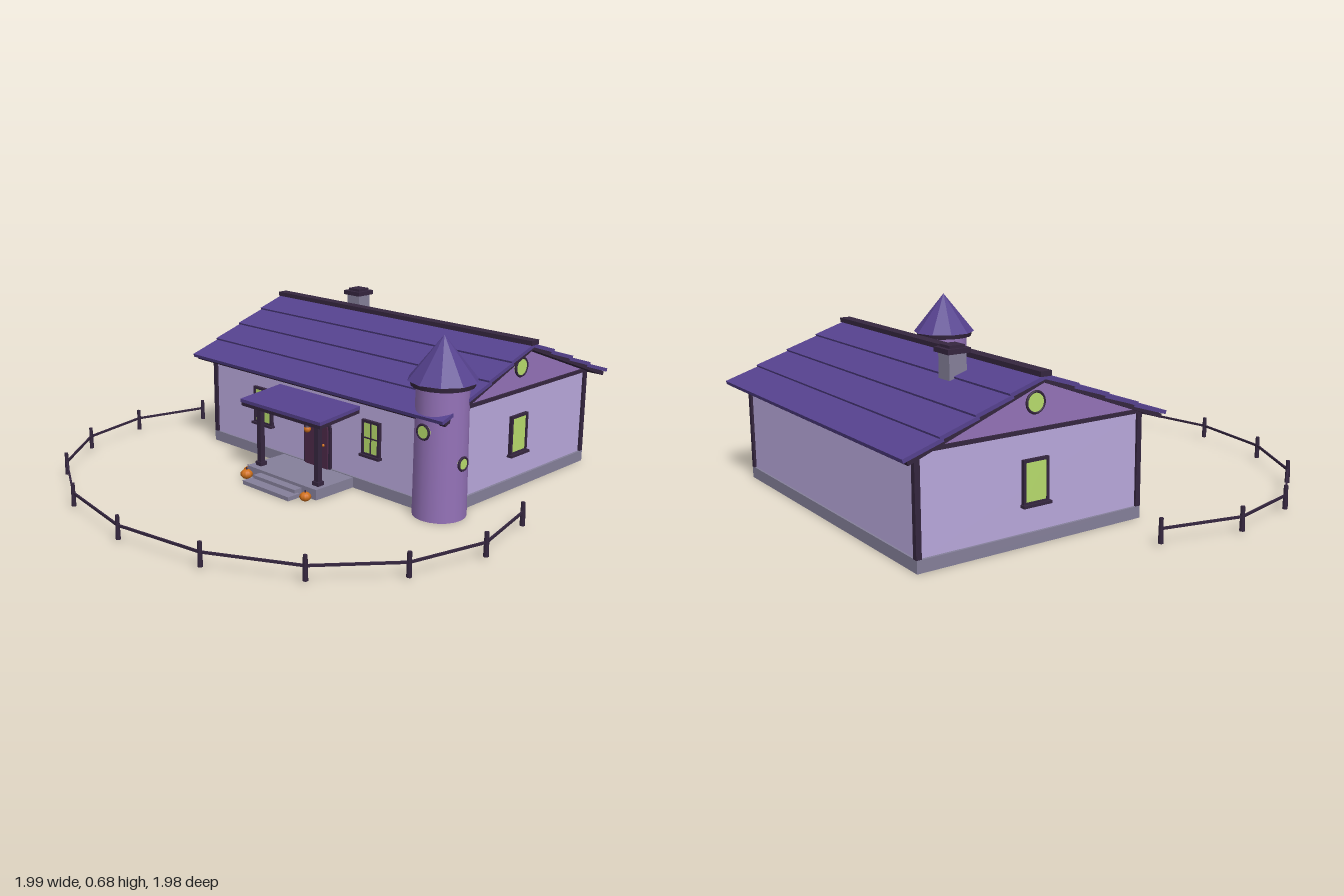
import * as THREE from 'three';

const paint = (color, flatShading = false) =>
  new THREE.MeshStandardMaterial({ color, flatShading });
const MAT = {
  wall: paint(0xb9a8dc), gable: paint(0x9472b8), roof: paint(0x56428f, true),
  trim: paint(0x35263f), stone: paint(0x85809a), glass: paint(0xb8dc6c),
  door: paint(0x4c2848), pumpkin: paint(0xd0701c), tower: paint(0x9472b8),
};

function add(parent, name, geometry, material, x = 0, y = 0, z = 0) {
  const mesh = new THREE.Mesh(geometry, material);
  mesh.name = name;
  mesh.position.set(x, y, z);
  parent.add(mesh);
  return mesh;
}
const box = (w, h, d) => new THREE.BoxGeometry(w, h, d);
const cyl = (top, bottom, h, n = 16) => new THREE.CylinderGeometry(top, bottom, h, n);

function group(parent, name, x = 0, y = 0, z = 0, turn = 0) {
  const g = new THREE.Group();
  g.name = name;
  g.position.set(x, y, z);
  g.rotation.y = turn;
  parent.add(g);
  return g;
}

// Window facing its local +z, with frame bars, sill and optional mullions
function squareWindow(parent, x, y, z, turn, w, h, cross) {
  const g = group(parent, 'window', x, y, z, turn);
  add(g, 'pane', box(w, h, 0.008), MAT.glass, 0, 0, 0.002);
  for (const s of [-1, 1]) {
    add(g, 'frameSide', box(0.01, h, 0.018), MAT.trim, s * w / 2, 0, 0.002);
    add(g, 'frameRail', box(w + 0.01, 0.01, 0.018), MAT.trim, 0, s * h / 2, 0.002);
  }
  add(g, 'sill', box(w + 0.022, 0.01, 0.028), MAT.trim, 0, -h / 2 - 0.006, 0.006);
  if (cross) {
    add(g, 'mullion', box(0.005, h, 0.012), MAT.trim, 0, 0, 0.003);
    add(g, 'mullionBar', box(w, 0.005, 0.012), MAT.trim, 0, 0, 0.003);
  }
}

function roundWindow(parent, x, y, z, turn, r) {
  const g = group(parent, 'roundWindow', x, y, z, turn);
  add(g, 'pane', cyl(r, r, 0.012, 20), MAT.glass).rotation.x = Math.PI / 2;
  add(g, 'frame', new THREE.TorusGeometry(r, 0.005, 6, 20), MAT.trim, 0, 0, 0.004);
}

function archGeometry(halfWidth, height, depth) {
  const s = new THREE.Shape();
  s.moveTo(-halfWidth, 0);
  s.lineTo(halfWidth, 0);
  s.lineTo(halfWidth, height - halfWidth);
  s.absarc(0, height - halfWidth, halfWidth, 0, Math.PI);
  s.closePath();
  return new THREE.ExtrudeGeometry(s, { depth, bevelEnabled: false, curveSegments: 16 });
}

const MID = -0.455; // z of the ridge

function buildHouse(root) {
  const house = group(root, 'house', 0, 0, MID);
  add(house, 'foundation', box(1.3, 0.045, 0.925), MAT.stone, 0, 0.0225, 0);
  add(house, 'walls', box(1.28, 0.36, 0.91), MAT.wall, 0, 0.215, 0);
  const tri = new THREE.Shape();
  tri.moveTo(-0.455, 0);
  tri.lineTo(0.455, 0);
  tri.lineTo(0, 0.18);
  const gable = new THREE.ExtrudeGeometry(tri, { depth: 1.28, bevelEnabled: false });
  add(house, 'gables', gable, MAT.gable, -0.64, 0.393, 0).rotation.y = Math.PI / 2;
  for (const s of [-1, 1]) {
    for (const t of [-1, 1])
      add(house, 'cornerPost', box(0.02, 0.35, 0.02), MAT.trim, s * 0.639, 0.22, t * 0.454);
    add(house, 'gableTrim', box(0.012, 0.014, 0.91), MAT.trim, s * 0.642, 0.396, 0);
    squareWindow(house, s * 0.643, 0.222, 0, s * Math.PI / 2, 0.095, 0.148, false);
    roundWindow(house, s * 0.643, 0.49, 0, s * Math.PI / 2, 0.036);
  }
  squareWindow(root, -0.325, 0.224, 0.003, 0, 0.1, 0.148, true);
  squareWindow(root, 0.295, 0.224, 0.003, 0, 0.082, 0.132, true);
}

// Each slope: dark underboard plus four overlapping, slightly lifted boards
function buildRoof(root) {
  const pitch = Math.atan2(0.2, 0.53), length = 0.562;
  for (const turn of [0, Math.PI]) {
    const side = group(root, 'roofSide', 0, 0.587, MID, turn);
    const slope = group(side, 'roofSlope');
    slope.rotation.x = pitch;
    add(slope, 'underboard', box(1.39, 0.016, length - 0.008), MAT.trim, 0, -0.013, length / 2 - 0.004);
    for (let i = 0; i < 4; i++) {
      const row = add(slope, 'roofBoard', box(1.4, 0.014, 0.152), MAT.roof,
        0, 0, (i + 0.5) * length / 4);
      row.rotation.x = -0.055;
    }
  }
  add(root, 'ridgeCap', box(1.41, 0.018, 0.045), MAT.trim, 0, 0.595, MID);
  const chimney = group(root, 'chimney', -0.335, 0, -0.578);
  add(chimney, 'stack', box(0.07, 0.14, 0.07), MAT.stone, 0, 0.56, 0);
  add(chimney, 'cap', box(0.092, 0.018, 0.092), MAT.trim, 0, 0.633, 0);
  add(chimney, 'flue', box(0.062, 0.014, 0.062), MAT.trim, 0, 0.645, 0);
}

function buildTower(root) {
  const tower = group(root, 'tower', 0.613, 0, -0.025);
  add(tower, 'shaft', cyl(0.098, 0.102, 0.5, 20), MAT.tower, 0, 0.25, 0);
  add(tower, 'rim', cyl(0.122, 0.118, 0.022, 20), MAT.trim, 0, 0.507, 0);
  add(tower, 'spire', new THREE.ConeGeometry(0.132, 0.165, 10), MAT.roof, 0, 0.598, 0);
  roundWindow(tower, 0, 0.34, 0.1, 0, 0.027);
  roundWindow(tower, 0.1, 0.22, 0, Math.PI / 2, 0.024);
}

function buildPumpkin(root, x, z, r) {
  const g = group(root, 'pumpkin', x, r * 0.8, z);
  const body = new THREE.SphereGeometry(r, 24, 10);
  const p = body.attributes.position;
  // Ribs: pinch the radius eight times around
  for (let i = 0; i < p.count; i++) {
    const k = 0.95 + 0.06 * Math.cos(8 * Math.atan2(p.getZ(i), p.getX(i)));
    p.setXYZ(i, p.getX(i) * k, p.getY(i) * 0.8, p.getZ(i) * k);
  }
  body.computeVertexNormals();
  add(g, 'body', body, MAT.pumpkin);
  add(g, 'stem', cyl(0.003, 0.004, 0.012, 6), MAT.trim, 0, r * 0.85, 0);
}

function buildPorch(root) {
  const porch = group(root, 'porch');
  add(porch, 'deck', box(0.4, 0.042, 0.21), MAT.stone, 0, 0.021, 0.105);
  add(porch, 'upperStep', box(0.24, 0.03, 0.05), MAT.stone, 0, 0.015, 0.222);
  add(porch, 'lowerStep', box(0.265, 0.016, 0.06), MAT.stone, 0, 0.008, 0.263);
  add(porch, 'doorFrame', archGeometry(0.076, 0.234, 0.012), MAT.trim, 0, 0.042, -0.002);
  add(porch, 'door', archGeometry(0.065, 0.222, 0.016), MAT.door, 0, 0.042, 0);
  add(porch, 'doorKnob', new THREE.SphereGeometry(0.006, 10, 8), MAT.pumpkin, 0.045, 0.14, 0.018);
  for (const s of [-1, 1]) {
    add(porch, 'post', box(0.022, 0.265, 0.022), MAT.trim, s * 0.165, 0.17, 0.165);
    add(porch, 'postFoot', box(0.032, 0.016, 0.032), MAT.trim, s * 0.165, 0.05, 0.165);
  }
  add(porch, 'beam', box(0.4, 0.02, 0.024), MAT.trim, 0, 0.297, 0.165);
  const roof = group(porch, 'porchRoof', 0, 0.318, 0.105);
  roof.rotation.x = 0.09;
  add(roof, 'porchRoofTop', box(0.455, 0.014, 0.222), MAT.roof, 0, 0.004, 0);
  add(roof, 'porchRoofBase', box(0.45, 0.016, 0.218), MAT.trim, 0, -0.01, 0);
  // Hanging lantern
  add(porch, 'lanternCord', cyl(0.002, 0.002, 0.04, 6), MAT.trim, 0.12, 0.288, 0.178);
  add(porch, 'lanternCap', cyl(0.006, 0.014, 0.008, 8), MAT.trim, 0.12, 0.276, 0.178);
  add(porch, 'lantern', new THREE.SphereGeometry(0.014, 12, 8), MAT.pumpkin, 0.12, 0.262, 0.178);
  buildPumpkin(root, -0.17, 0.24, 0.025);
  buildPumpkin(root, -0.212, 0.195, 0.019);
  buildPumpkin(root, 0.175, 0.243, 0.023);
}

// Posts on an open arc, joined by one straight rail per bay
function buildFence(root) {
  const fence = group(root, 'fence');
  const half = [[0.912, -0.13], [0.987, 0.18], [0.912, 0.485], [0.697, 0.742], [0.378, 0.915]];
  const spots = [...half.map(([x, z]) => [-x, z]), [0, 0.977], ...half.reverse()];
  const points = spots.map(([x, z]) => new THREE.Vector3(x, 0.062, z));
  points.forEach((a, i) => {
    add(fence, 'fencePost', cyl(0.008, 0.01, 0.09, 6), MAT.trim, a.x, 0.055, a.z);
    if (i === points.length - 1) return;
    const b = points[i + 1];
    const mid = a.clone().lerp(b, 0.5);
    const rail = add(fence, 'fenceRail', box(0.007, 0.009, a.distanceTo(b)), MAT.trim, mid.x, mid.y, mid.z);
    rail.lookAt(b);
  });
}

export function createModel() {
  const root = new THREE.Group();
  root.name = 'cottage';
  buildHouse(root);
  buildRoof(root);
  buildTower(root);
  buildPorch(root);
  buildFence(root);
  return root;
}
